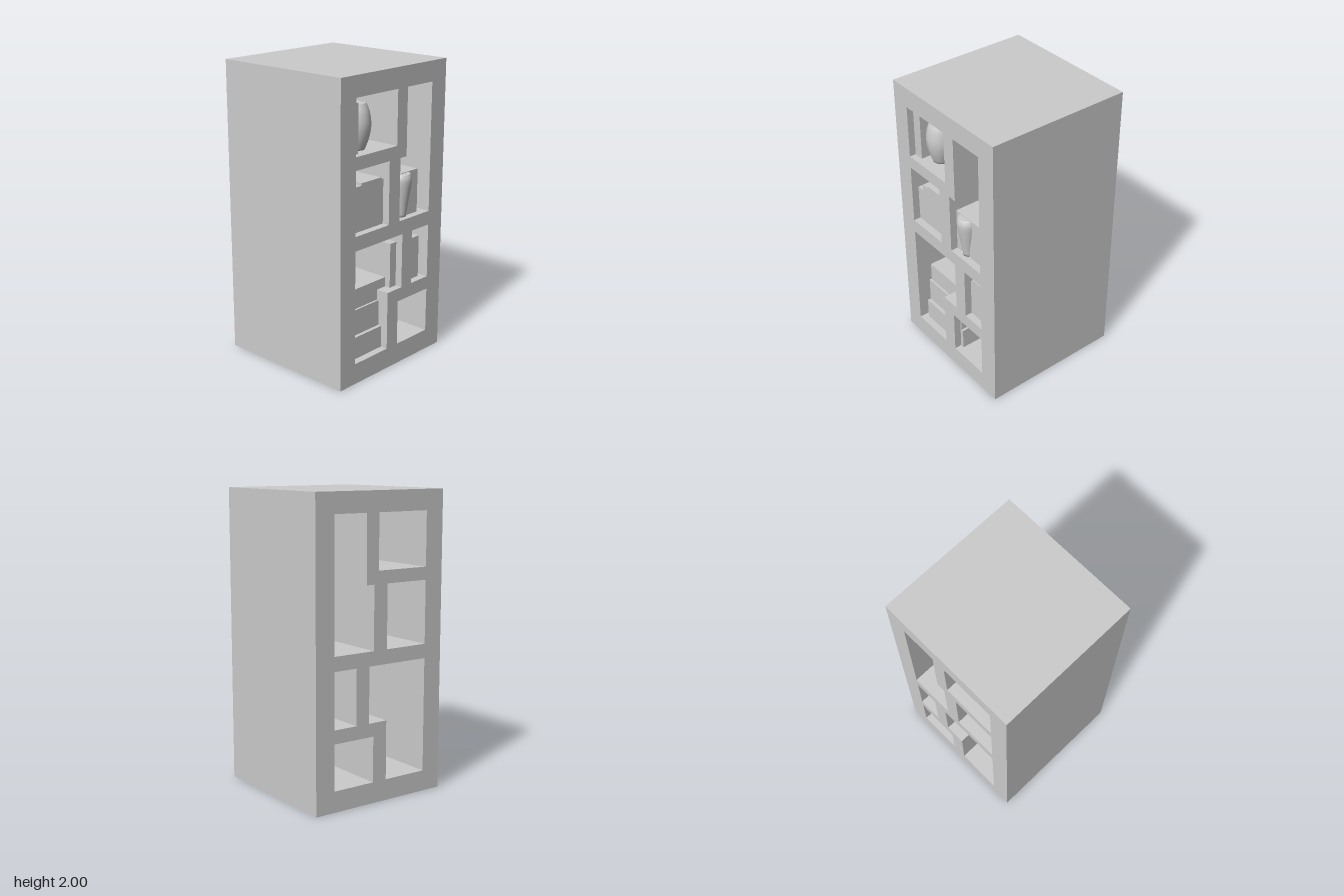
import * as THREE from 'three';

const material = new THREE.MeshStandardMaterial({ color: 0xcccccc });
const FRONT = 0.5;

function add(group, name, geometry) {
  const mesh = new THREE.Mesh(geometry, material);
  mesh.name = name;
  group.add(mesh);
  return mesh;
}

// Box from its left, right, bottom and top edges, set back from the front face
function block(group, name, x0, x1, y0, y1, setback = 0.05, depth = 0.27) {
  const mesh = add(group, name, new THREE.BoxGeometry(x1 - x0, y1 - y0, depth));
  mesh.position.set((x0 + x1) / 2, (y0 + y1) / 2, FRONT - setback - depth / 2);
}

// Turned vase from a smooth side profile of [radius, height] points
function vase(group, name, side, cap, x, y, z) {
  const vec = ([r, h]) => new THREE.Vector2(r, h);
  const curve = new THREE.SplineCurve(side.map(vec)).getPoints(14);
  const holder = new THREE.Group();
  holder.name = name;
  holder.position.set(x, y, z);
  add(holder, name + 'Body', new THREE.LatheGeometry([new THREE.Vector2(0, 0), ...curve], 28));
  add(holder, name + 'Top', new THREE.LatheGeometry(cap.map(vec), 28));
  group.add(holder);
}

export function createModel() {
  const model = new THREE.Group();
  model.name = 'shelfUnit';

  // Solid case with openings running from front to back
  const rect = (x0, x1, y0, y1) => [[x0, y0], [x1, y0], [x1, y1], [x0, y1]];
  const toPoints = (list) => list.map(([x, y]) => new THREE.Vector2(x, y));
  const openings = [
    rect(-0.365, 0.02, 1.505, 1.865),
    [[0.055, 1], [0.36, 1], [0.36, 1.865], [0.115, 1.865], [0.115, 1.42], [0.055, 1.42]],
    rect(-0.365, -0.05, 1, 1.42),
    [[-0.365, 0.14], [-0.05, 0.14], [-0.05, 0.535], [0.09, 0.535], [0.09, 0.905], [-0.365, 0.905]],
    rect(0.19, 0.36, 0.535, 0.905),
    rect(0.055, 0.36, 0.14, 0.445),
  ];
  const outline = new THREE.Shape(toPoints(rect(-0.5, 0.5, 0, 2)));
  outline.holes = openings.map((o) => new THREE.Path(toPoints(o)));
  const caseGeometry = new THREE.ExtrudeGeometry(outline, { depth: 1, bevelEnabled: false });
  add(model, 'case', caseGeometry.translate(0, 0, -0.5));

  // Top left: book beside a round vase
  block(model, 'uprightBook', -0.365, -0.295, 1.505, 1.82, 0.045, 0.25);
  vase(model, 'roundVase',
    [[0.056, 0], [0.082, 0.075], [0.094, 0.155], [0.084, 0.235], [0.064, 0.285]],
    [[0.064, 0.285], [0.06, 0.295], [0.02, 0.297], [0.02, 0.306], [0, 0.306]],
    -0.21, 1.505, 0.36);

  // Second row left: row of books
  [[-0.365, -0.31, 1.25], [-0.31, -0.255, 1.295], [-0.255, -0.07, 1.31], [-0.07, -0.05, 1.3]]
    .forEach(([x0, x1, top]) => block(model, 'rowBook', x0, x1, 1, top));

  // Second row right: box with a tapered vase in front
  block(model, 'storageBox', 0.055, 0.295, 1, 1.295, 0.05, 0.28);
  vase(model, 'taperedVase',
    [[0.035, 0], [0.047, 0.08], [0.062, 0.17], [0.071, 0.25], [0.06, 0.287]],
    [[0.06, 0.287], [0.055, 0.291], [0, 0.291]],
    0.15, 1, 0.431);

  // Lower left: stack of boxes
  block(model, 'stackBottom', -0.335, -0.05, 0.14, 0.29, 0.05, 0.28);
  block(model, 'stackMiddle', -0.335, -0.05, 0.29, 0.465, 0.075, 0.27);
  block(model, 'stackTop', -0.33, 0.035, 0.465, 0.6, 0.09, 0.26);
  block(model, 'ledgeBook', 0.03, 0.09, 0.535, 0.84, 0.05, 0.25);

  // Lower right: upright books
  block(model, 'narrowBook', 0.19, 0.205, 0.535, 0.805);
  block(model, 'wideBook', 0.205, 0.325, 0.535, 0.825);

  // Bottom right: thin panels against the partition
  block(model, 'tallPanel', 0.055, 0.066, 0.14, 0.444, 0.05, 0.3);
  block(model, 'shortPanel', 0.066, 0.083, 0.14, 0.29, 0.05, 0.3);

  return model;
}
